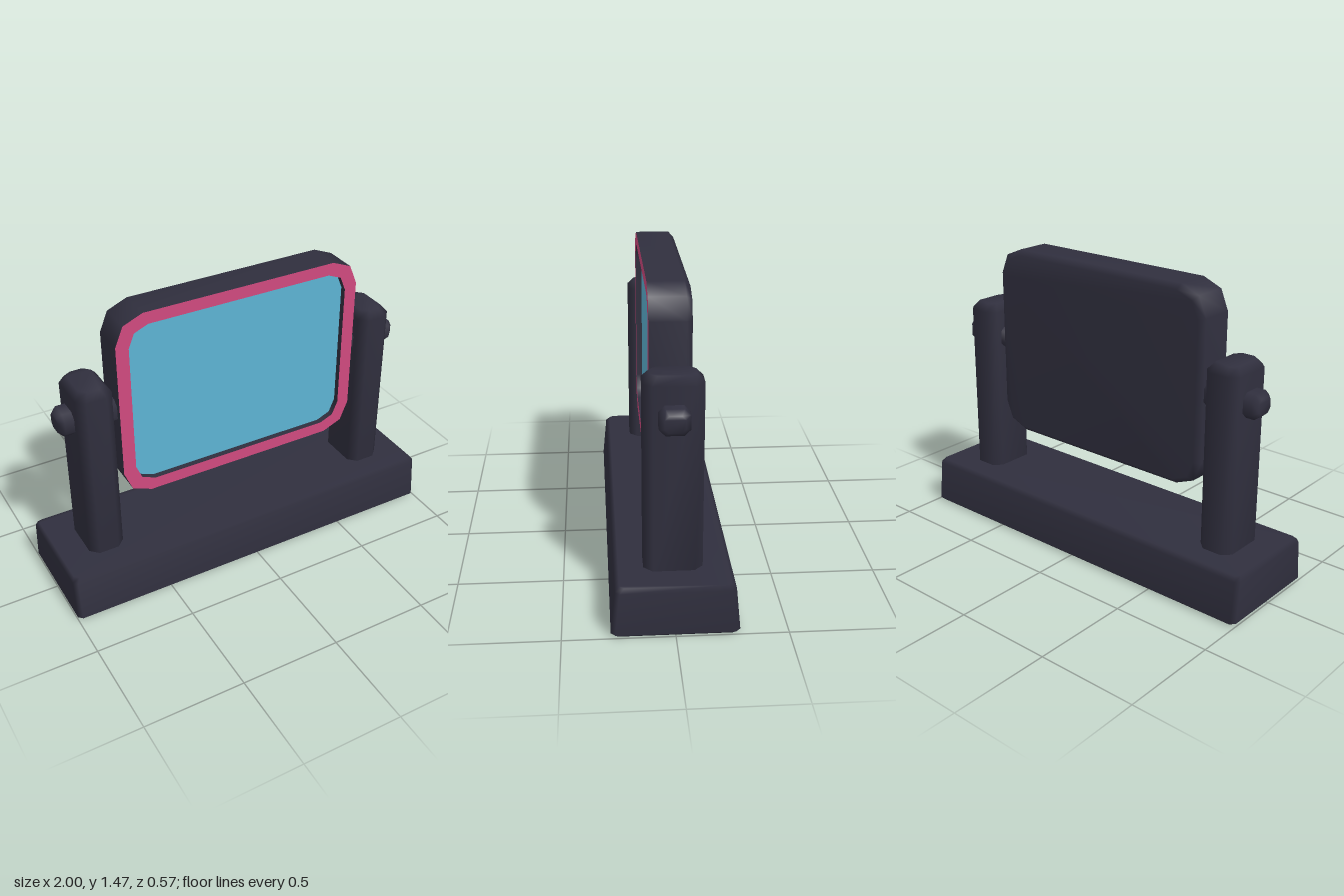
import * as THREE from 'three';

// Rectangle outline with cut corners (segs = 1) or faceted round corners, counter-clockwise
function outline(hw, hh, r, segs) {
  const pts = [];
  [[1, 1], [-1, 1], [-1, -1], [1, -1]].forEach(([sx, sy], q) => {
    for (let i = 0; i <= segs; i++) {
      const a = (q + i / segs) * Math.PI / 2;
      pts.push(new THREE.Vector2(sx * (hw - r) + r * Math.cos(a), sy * (hh - r) + r * Math.sin(a)));
    }
  });
  return pts;
}

// Skin along z through rings of [z, halfWidth, halfHeight, cornerRadius]
function loft(rings, segs, capStart = true, capEnd = true) {
  const pos = [], idx = [], n = 4 * (segs + 1);
  for (const [z, hw, hh, r] of rings) {
    for (const p of outline(hw, hh, r, segs)) pos.push(p.x, p.y, z);
  }
  for (let k = 0; k < rings.length - 1; k++) {
    for (let i = 0; i < n; i++) {
      const a = k * n + i, b = k * n + (i + 1) % n;
      idx.push(a, b, b + n, a, b + n, a + n);
    }
  }
  const last = (rings.length - 1) * n;
  for (let i = 1; i < n - 1; i++) {
    if (capStart) idx.push(0, i + 1, i);
    if (capEnd) idx.push(last, last + i, last + i + 1);
  }
  const g = new THREE.BufferGeometry();
  g.setAttribute('position', new THREE.Float32BufferAttribute(pos, 3));
  g.setIndex(idx);
  g.computeVertexNormals();
  return g;
}

export function createModel() {
  const model = new THREE.Group();
  const material = (name, color) => {
    const m = new THREE.MeshStandardMaterial({ color });
    m.name = name;
    return m;
  };
  const dark = material('dark casing', 0x302f3e);
  const pink = material('pink bezel', 0xd04a7e);
  const blue = material('blue screen', 0x5cb3d3);
  const add = (name, geometry, mat, x = 0, y = 0, z = 0, parent = model) => {
    const mesh = new THREE.Mesh(geometry, mat);
    mesh.name = name;
    mesh.position.set(x, y, z);
    parent.add(mesh);
    return mesh;
  };

  // Base with sloping front and back
  add('base', loft([
    [0, 0.985, 0.27, 0.02], [0.015, 1, 0.285, 0.02],
    [0.22, 1, 0.265, 0.02], [0.24, 0.985, 0.245, 0.02],
  ], 1).rotateX(-Math.PI / 2), dark);

  // Posts and pivot pins, one on each side
  const postGeo = loft([
    [0.2, 0.09, 0.133, 0.04], [1.11, 0.09, 0.133, 0.04], [1.146, 0.06, 0.1, 0.03],
  ], 1).rotateX(-Math.PI / 2);
  const pinGeo = loft([
    [-0.16, 0.068, 0.06, 0.028], [0.135, 0.068, 0.06, 0.028], [0.16, 0.045, 0.038, 0.018],
  ], 1).rotateY(Math.PI / 2);
  for (const side of [1, -1]) {
    const name = side > 0 ? 'left' : 'right';
    add(name + 'Post', postGeo, dark, side * 0.76);
    add(name + 'PivotPin', pinGeo, dark, side * 0.76, 0.967).rotation.y = side > 0 ? 0 : Math.PI;
  }

  // Tilting display between the posts
  const display = new THREE.Group();
  display.name = 'display';
  display.position.y = 0.978;
  model.add(display);
  const front = 0.096, recess = 0.066;
  add('displayShell', loft([
    [-0.096, 0.612, 0.46, 0.12], [-0.07, 0.64, 0.487, 0.14], [front, 0.64, 0.487, 0.14],
  ], 2, true, false), dark, 0, 0, 0, display);

  const bezel = new THREE.Shape(outline(0.64, 0.487, 0.14, 2));
  bezel.holes.push(new THREE.Path(outline(0.576, 0.426, 0.1, 2)));
  add('bezel', new THREE.ShapeGeometry(bezel), pink, 0, 0, front, display);

  // Inward-facing walls of the recess, then the screen at its floor
  add('recessWall', loft([
    [front, 0.576, 0.426, 0.1], [recess, 0.576, 0.426, 0.1],
  ], 2, false, false), dark, 0, 0, 0, display);
  add('screen', new THREE.ShapeGeometry(new THREE.Shape(outline(0.576, 0.426, 0.1, 2))), blue, 0, 0, recess, display);

  return model;
}
